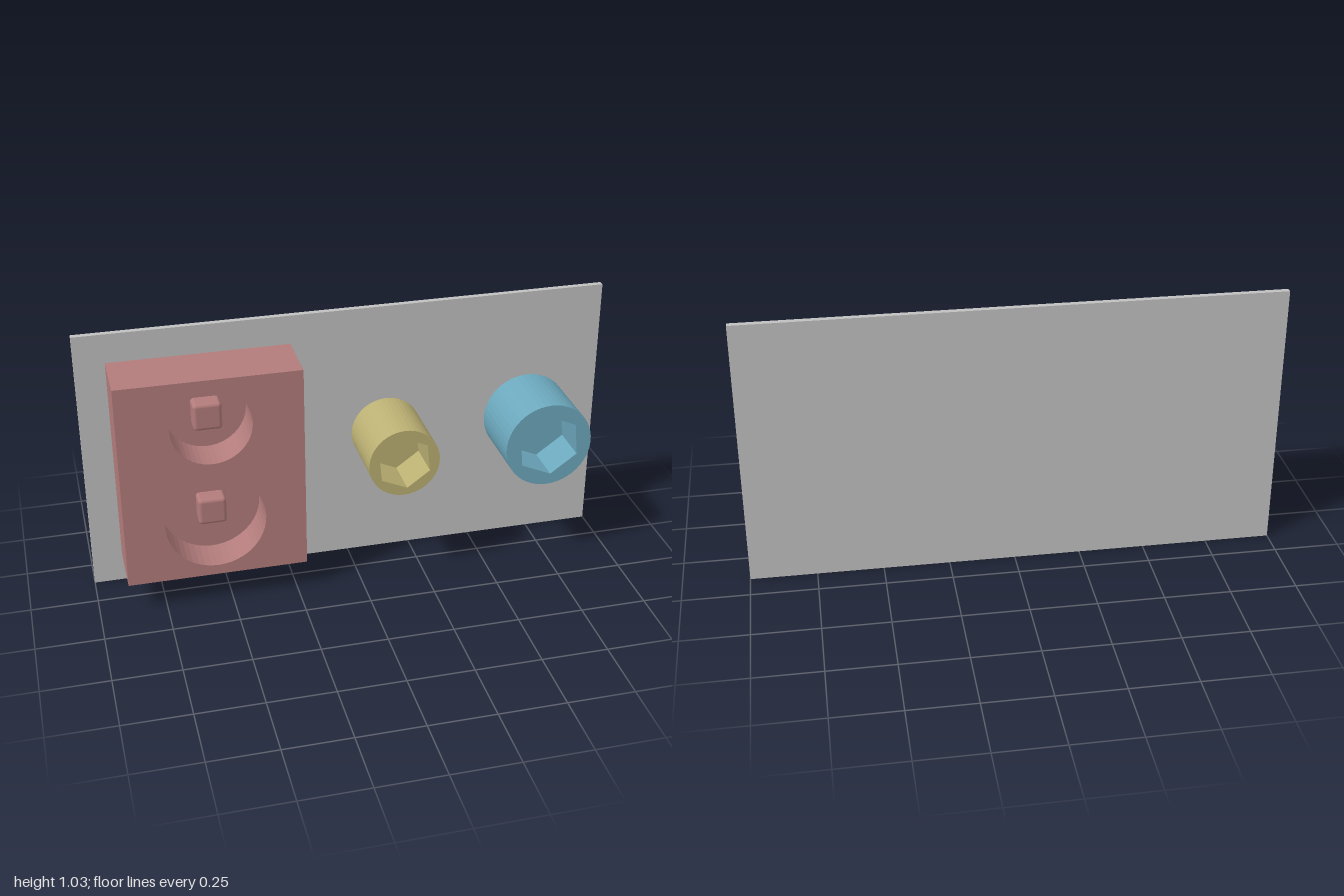
import * as THREE from 'three';
import { RoundedBoxGeometry } from 'three/addons/geometries/RoundedBoxGeometry.js';

const material = (name, color) => {
  const m = new THREE.MeshStandardMaterial({ color });
  m.name = name;
  return m;
};

const PLATE_BACK = -0.147, PLATE_FRONT = -0.125;

// Regular polygon path around (x, y), first corner at the given angle
function polygon(Type, x, y, r, sides, start = 0) {
  const pts = [];
  for (let i = 0; i < sides; i++) {
    const a = start + (i / sides) * Math.PI * 2;
    pts.push(new THREE.Vector2(x + r * Math.cos(a), y + r * Math.sin(a)));
  }
  return new Type(pts);
}

function rectangle(x0, y0, x1, y1) {
  return new THREE.Shape([
    new THREE.Vector2(x0, y0), new THREE.Vector2(x1, y0),
    new THREE.Vector2(x1, y1), new THREE.Vector2(x0, y1),
  ]);
}

// Solid prism between two z values
function prism(name, shape, z0, z1, mat) {
  const geo = new THREE.ExtrudeGeometry(shape, { depth: z1 - z0, bevelEnabled: false });
  geo.translate(0, 0, z0);
  const mesh = new THREE.Mesh(geo, mat);
  mesh.name = name;
  return mesh;
}

// Body on the plate with blind recesses: solid base below, pierced layer above
function recessedBody(name, outline, holes, floorZ, frontZ, mat) {
  const group = new THREE.Group();
  group.name = name;
  const pierced = outline.clone();
  pierced.holes = holes;
  group.add(prism(name + 'Base', outline, PLATE_FRONT, floorZ, mat));
  group.add(prism(name + 'Rim', pierced, floorZ, frontZ, mat));
  return group;
}

export function createModel() {
  const grey = material('plate grey', 0xc0c0c0);
  const red = material('dusty red', 0xb27c7b);
  const yellow = material('muted yellow', 0xbbb073);
  const blue = material('soft blue', 0x6ca8bd);

  const model = new THREE.Group();
  model.name = 'socketPanel';

  // Backing plate
  model.add(prism('backPlate', rectangle(-1, 0, 1, 1.035), PLATE_BACK, PLATE_FRONT, grey));

  // Block with two round recesses, each holding a square peg
  const recesses = [
    { x: -0.55, y: 0.737, r: 0.15 },
    { x: -0.55, y: 0.341, r: 0.187 },
  ];
  const floorZ = -0.04, pegFront = 0.025, pegSize = 0.106;
  const block = recessedBody(
    'driveBlock', rectangle(-0.888, 0.115, -0.212, 0.923),
    recesses.map(({ x, y, r }) => polygon(THREE.Path, x, y, r, 48)),
    floorZ, 0.1, red);
  const pegDepth = 0.11;
  for (const { x, y } of recesses) {
    const peg = new THREE.Mesh(new RoundedBoxGeometry(pegSize, pegSize, pegDepth, 3, 0.014), red);
    peg.name = 'squarePeg';
    peg.position.set(x, y, pegFront - pegDepth / 2);
    block.add(peg);
  }
  model.add(block);

  // Round sockets with hexagonal recesses
  const sockets = [
    { name: 'smallSocket', x: 0.153, r: 0.135, hex: 0.107, mat: yellow },
    { name: 'largeSocket', x: 0.717, r: 0.168, hex: 0.126, mat: blue },
  ];
  for (const { name, x, r, hex, mat } of sockets) {
    const y = 0.52;
    model.add(recessedBody(
      name, polygon(THREE.Shape, x, y, r, 48),
      [polygon(THREE.Path, x, y, hex, 6, THREE.MathUtils.degToRad(96))],
      -0.007, 0.147, mat));
  }
  return model;
}
